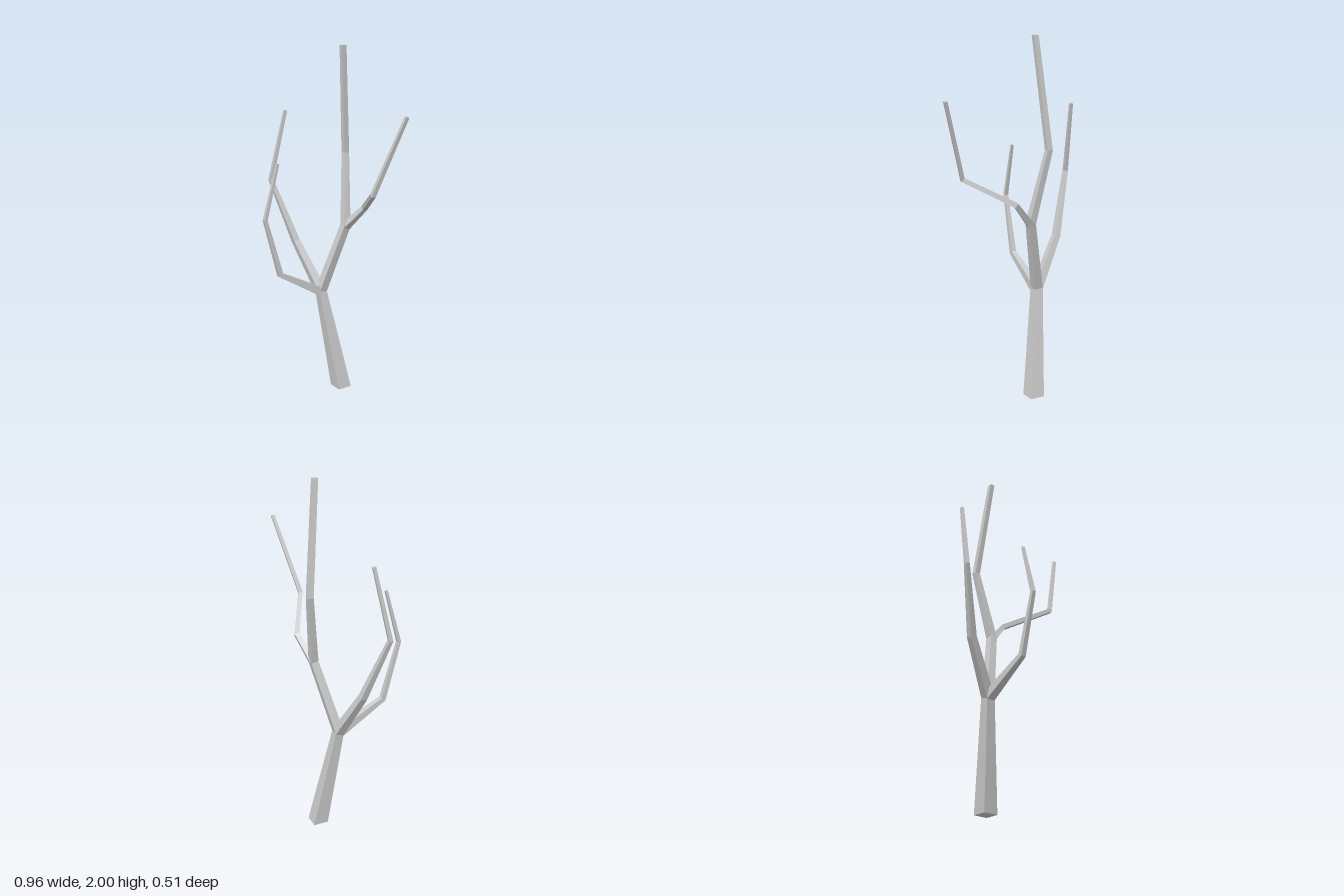
import * as THREE from 'three';

const V = (x, y, z) => new THREE.Vector3(x, y, z);
const UP = V(0, 1, 0);

// Square-section limb through points [x, y, z, halfWidth]; level ends are cut horizontally
function limb(points, levelEnds = false) {
  const p = points.map(([x, y, z]) => V(x, y, z));
  const last = p.length - 1;
  let u = V(0.94, 0, 0.34);
  const rings = p.map((c, i) => {
    const before = p[i].clone().sub(p[Math.max(i - 1, 0)]).normalize();
    const after = p[Math.min(i + 1, last)].clone().sub(p[i]).normalize();
    const end = i === 0 || i === last;
    const t = levelEnds && end ? UP.clone() : before.add(after).normalize();
    u = u.clone().addScaledVector(t, -u.dot(t)).normalize();
    const v = t.clone().cross(u);
    const h = points[i][3];
    return [[1, 1], [-1, 1], [-1, -1], [1, -1]].map(([a, b]) =>
      c.clone().addScaledVector(u, a * h).addScaledVector(v, b * h));
  });
  const tris = [];
  const quad = (a, b, c, d) => tris.push(a, b, c, a, c, d);
  for (let i = 0; i < last; i++) {
    for (let k = 0; k < 4; k++) {
      const n = (k + 1) % 4;
      quad(rings[i][k], rings[i][n], rings[i + 1][n], rings[i + 1][k]);
    }
  }
  quad(...rings[0].slice().reverse());
  quad(...rings[last]);
  const geometry = new THREE.BufferGeometry().setFromPoints(tris);
  geometry.computeVertexNormals();
  return geometry;
}

export function createModel() {
  const group = new THREE.Group();
  group.name = 'bareTree';
  const bark = new THREE.MeshStandardMaterial({ color: 0xcccccc, flatShading: true });
  const add = (name, points, levelEnds) => {
    const mesh = new THREE.Mesh(limb(points, levelEnds), bark);
    mesh.name = name;
    group.add(mesh);
  };

  // Trunk with its crooked leader
  add('trunk', [
    [-0.047, 0, -0.158, 0.0425],
    [-0.146, 0.6, -0.095, 0.025],
    [-0.016, 1.0, -0.155, 0.021],
    [-0.073, 1.4, -0.23, 0.0155],
    [-0.04, 2.0, -0.158, 0.0135],
  ], true);

  // Upper fork reaching to +x
  add('leftBranch', [
    [-0.018, 0.99, -0.155, 0.019],
    [0.11, 1.12, -0.158, 0.0135],
    [0.302, 1.258, 0.047, 0.012],
    [0.47, 1.68, 0.0, 0.009],
  ]);

  // Lower fork reaching to -x
  add('rightBranch', [
    [-0.146, 0.595, -0.095, 0.025],
    [-0.325, 0.87, -0.09, 0.0185],
    [-0.466, 1.225, -0.043, 0.0115],
    [-0.413, 1.62, -0.118, 0.0085],
  ]);

  // Lower fork reaching forward
  add('frontBranch', [
    [-0.146, 0.595, -0.09, 0.025],
    [-0.238, 0.745, 0.16, 0.0145],
    [-0.27, 1.075, 0.243, 0.0105],
    [-0.238, 1.38, 0.167, 0.007],
  ]);

  return group;
}
